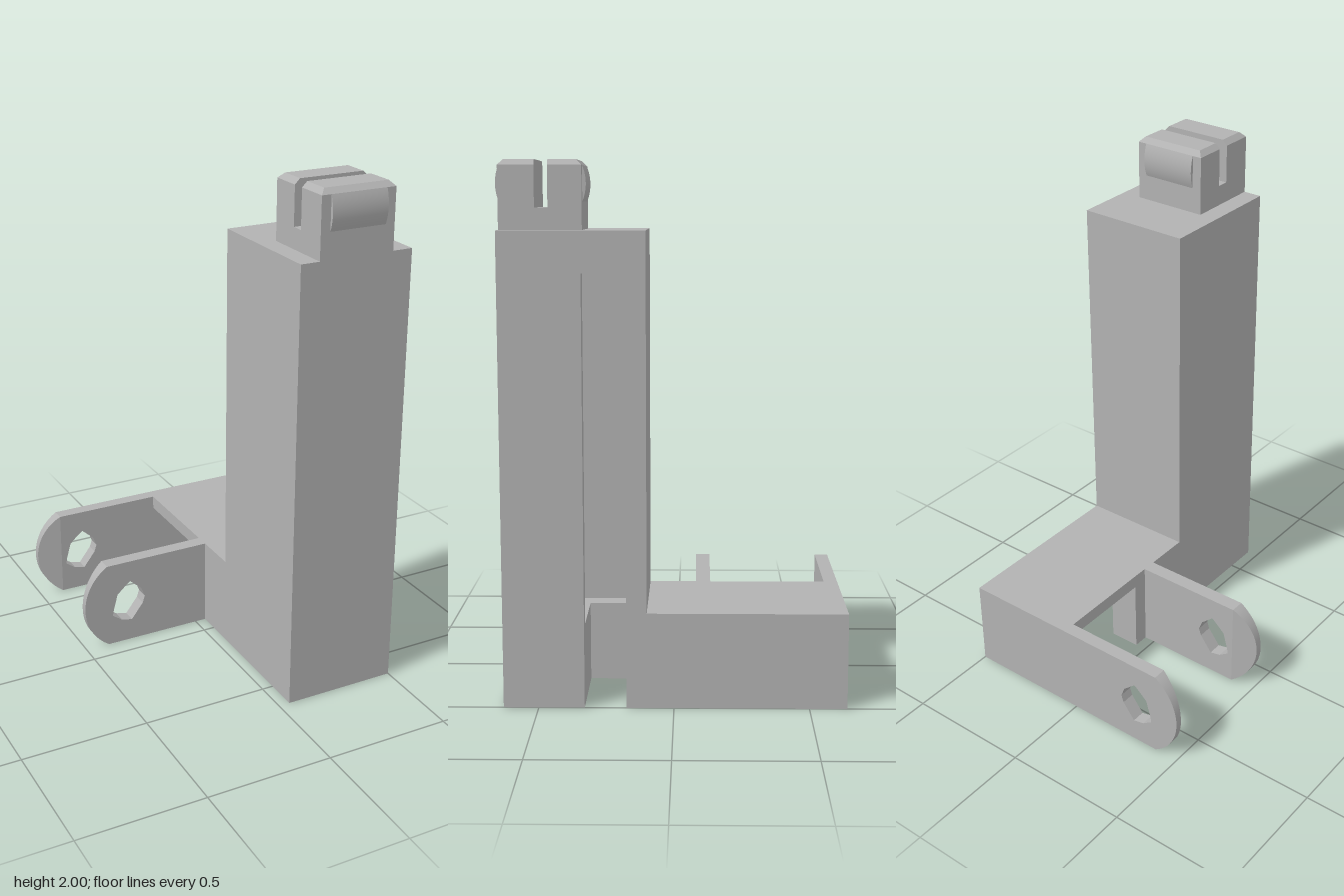
import * as THREE from 'three';
import { toCreasedNormals } from 'three/addons/utils/BufferGeometryUtils.js';

export function createModel() {
  const model = new THREE.Group();
  const grey = new THREE.MeshStandardMaterial({ color: 0xb2b2b2 });
  grey.name = 'grey plastic';

  function add(name, geometry) {
    const mesh = new THREE.Mesh(geometry, grey);
    mesh.name = name;
    model.add(mesh);
    return mesh;
  }

  // Box given by its limits on each axis
  function box(name, x0, x1, y0, y1, z0, z1) {
    const g = new THREE.BoxGeometry(x1 - x0, y1 - y0, z1 - z0);
    g.translate((x0 + x1) / 2, (y0 + y1) / 2, (z0 + z1) / 2);
    return add(name, g);
  }

  // Hollow tower with a slot in its +x side
  box('towerFront', 0.045, 0.5, 0, 1.75, 0.38, 0.63);
  box('towerCap', 0.045, 0.5, 1.6, 1.75, 0.1, 0.38);
  box('towerSideWall', 0.045, 0.1, 0.305, 1.6, 0.1, 0.38);
  box('towerBackWall', 0.1, 0.5, 0.305, 1.6, 0.1, 0.155);
  box('slotLipBack', 0.44, 0.5, 0.305, 1.6, 0.155, 0.175);
  box('slotLipFront', 0.44, 0.5, 0.305, 1.6, 0.33, 0.38);

  // Base, open underneath and between the arms
  box('baseFrontBlock', 0.045, 0.5, 0, 0.305, 0.33, 0.38);
  box('baseInnerWall', 0.045, 0.17, 0, 0.305, -0.2, 0.33);
  box('baseOuterWall', 0.44, 0.5, 0, 0.305, -0.64, 0.175);
  box('baseBackWall', 0.045, 0.44, 0, 0.305, -0.64, -0.587);
  box('baseTop', 0.045, 0.5, 0.305, 0.36, -0.64, 0.1);

  // Hinge arms: a plate with a rounded irregular hole, then a tapered tip
  const holePoints = [
    [-0.3, 0.27], [-0.25, 0.225], [-0.235, 0.185], [-0.245, 0.155], [-0.295, 0.09],
    [-0.34, 0.1], [-0.38, 0.128], [-0.375, 0.155], [-0.357, 0.22], [-0.33, 0.245],
  ].map(([x, y]) => new THREE.Vector2(x, y));

  function arm(name, z0, z1, taper0, taper1) {
    const plate = new THREE.Shape();
    plate.moveTo(-0.4, 0).lineTo(0.045, 0).lineTo(0.045, 0.36).lineTo(-0.4, 0.36).closePath();
    plate.holes.push(new THREE.Path(holePoints));
    const depth = z1 - z0;
    const plateGeo = new THREE.ExtrudeGeometry(plate, { depth, bevelEnabled: false });
    add(name + 'Plate', plateGeo.translate(0, 0, z0));

    const r = 0.212, half = Math.asin(0.18 / r);
    const tip = new THREE.Shape();
    tip.absarc(-0.5 + r, 0.18, r, Math.PI - half, Math.PI + half, false);
    const tipGeo = new THREE.ExtrudeGeometry(tip, { depth, bevelEnabled: false, curveSegments: 20 });
    tipGeo.translate(0, 0, z0);
    const p = tipGeo.attributes.position;
    for (let i = 0; i < p.count; i++) {
      const t = Math.max(0, (-0.4 - p.getX(i)) / 0.1);
      const isInner = p.getZ(i) < (z0 + z1) / 2;
      p.setZ(i, p.getZ(i) + t * (isInner ? taper0 : -taper1));
    }
    tipGeo.computeVertexNormals();
    add(name + 'Tip', toCreasedNormals(tipGeo, 0.4));
  }
  arm('backArm', -0.64, -0.587, 0, 0.025);
  arm('frontArm', -0.137, -0.08, 0.028, 0);

  // Split head on top of the tower
  box('headBase', 0.12, 0.42, 1.75, 1.83, 0.33, 0.63);
  const halves = [
    { name: 'headBack', z0: 0.33, z1: 0.452, outer: 0.33 },
    { name: 'headFront', z0: 0.5, z1: 0.63, outer: 0.63 },
  ];
  for (const { name, z0, z1, outer } of halves) {
    box(name, 0.12, 0.42, 1.83, 1.98, z0, z1);

    // Chamfered top edge on all sides but the split
    const cap = box(name + 'Bevel', 0.12, 0.42, 1.98, 2, z0, z1).geometry;
    const p = cap.attributes.position;
    for (let i = 0; i < p.count; i++) {
      if (p.getY(i) < 1.99) continue;
      p.setX(i, p.getX(i) + (p.getX(i) < 0.27 ? 0.02 : -0.02));
      if (Math.abs(p.getZ(i) - outer) < 0.001) p.setZ(i, outer + (outer > 0.5 ? -0.02 : 0.02));
    }
    cap.computeVertexNormals();

    // Shallow rounded snap ridge
    const dir = outer > 0.5 ? 1 : -1;
    const lens = new THREE.Shape();
    lens.moveTo(0, 1.85).quadraticCurveTo(dir * 0.026, 1.915, 0, 1.98).closePath();
    const ridge = new THREE.ExtrudeGeometry(lens, { depth: 0.225, bevelEnabled: false, curveSegments: 12 });
    ridge.rotateY(-Math.PI / 2).translate(0.383, 0, outer);
    add(name + 'Ridge', toCreasedNormals(ridge, 0.5));
  }
  return model;
}
